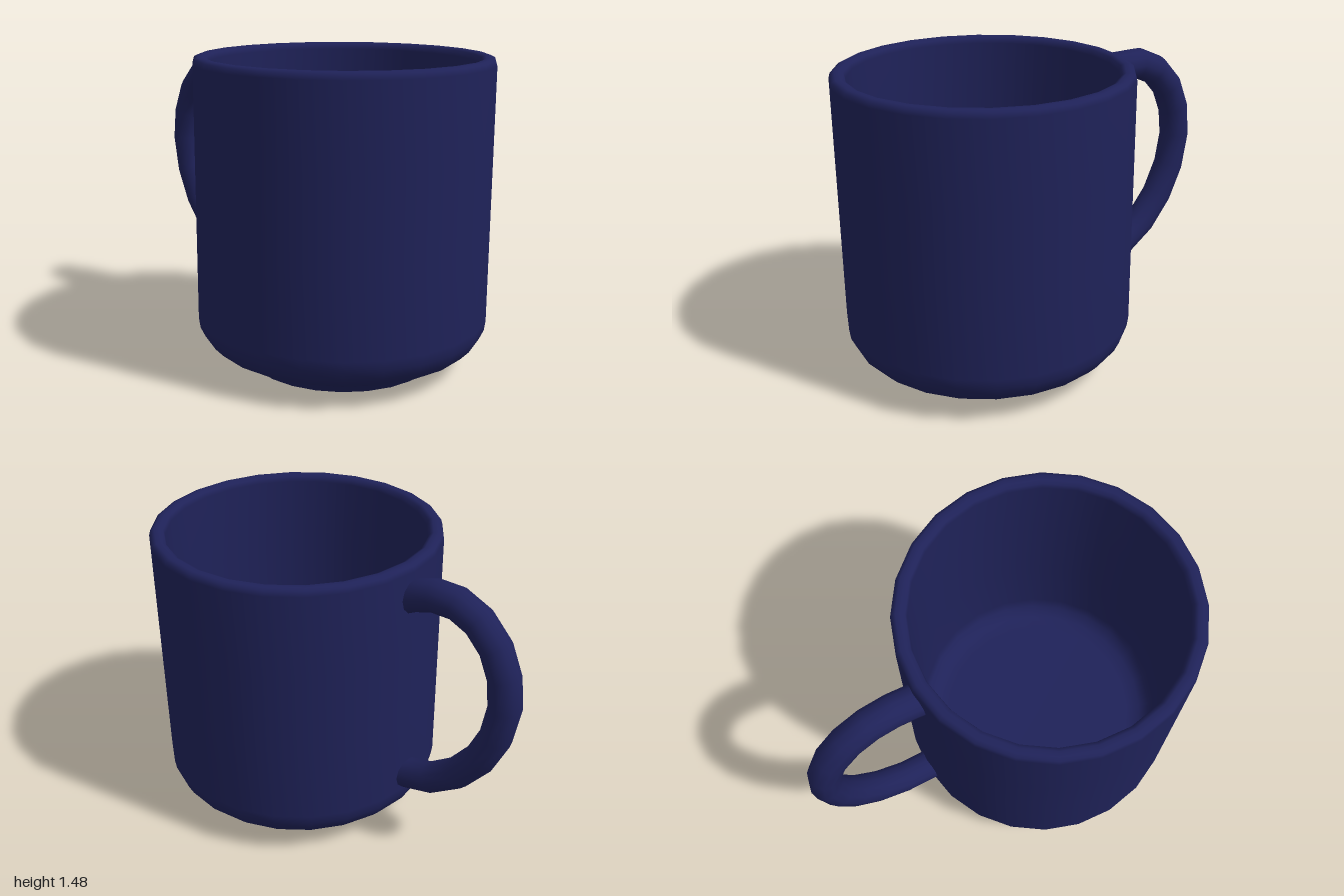
import * as THREE from 'three';

const AXIS_X = 0.295; // axis of the cup body
const SIDES = 24;

function lathe(name, profile, material) {
  const points = profile.map(([r, y]) => new THREE.Vector2(r, y));
  const mesh = new THREE.Mesh(new THREE.LatheGeometry(points, SIDES), material);
  mesh.name = name;
  mesh.position.x = AXIS_X;
  return mesh;
}

export function createModel() {
  const group = new THREE.Group();
  group.name = 'mug';
  const glaze = new THREE.MeshStandardMaterial({ color: 0x1f2259 });
  const clay = new THREE.MeshStandardMaterial({ color: 0xa08a5c });

  // Flared foot
  group.add(lathe('foot', [[0.455, 0], [0.53, 0.07]], glaze));

  // Outer wall, rounded rim, inner wall and floor in one profile
  group.add(lathe('body', [
    [0.53, 0.07], [0.58, 0.083], [0.635, 0.11], [0.675, 0.152], [0.698, 0.2], [0.705, 0.25],
    [0.705, 0.65], [0.705, 1.05], [0.705, 1.45], [0.698, 1.474], [0.68, 1.483],
    [0.655, 1.483], [0.637, 1.474], [0.63, 1.45],
    [0.63, 1.05], [0.63, 0.65], [0.63, 0.27], [0.615, 0.21], [0.57, 0.165], [0.5, 0.15], [0, 0.15],
  ], glaze));

  // Unglazed ring the mug stands on
  group.add(lathe('footRing', [[0.4, 0], [0.455, 0]], clay));

  // Recess under the base
  group.add(lathe('baseRecess', [[0, 0.07], [0.34, 0.07]], glaze));
  group.add(lathe('recessWall', [[0.34, 0.07], [0.4, 0]], glaze));

  // Handle: round tube whose rings sit on the path points, ends sunk into the wall
  const path = new THREE.CatmullRomCurve3([
    [-0.37, 1.31], [-0.42, 1.335], [-0.52, 1.366], [-0.64, 1.366], [-0.755, 1.316], [-0.85, 1.216],
    [-0.905, 1.087], [-0.922, 0.94], [-0.89, 0.768], [-0.815, 0.61], [-0.7, 0.472],
    [-0.55, 0.37], [-0.4, 0.33], [-0.37, 0.325],
  ].map(([x, y]) => new THREE.Vector3(x, y, 0)));
  path.getPointAt = path.getPoint;
  path.getTangentAt = path.getTangent;
  const handle = new THREE.Mesh(
    new THREE.TubeGeometry(path, path.points.length - 1, 0.078, 12), glaze);
  handle.name = 'handle';
  group.add(handle);

  return group;
}
